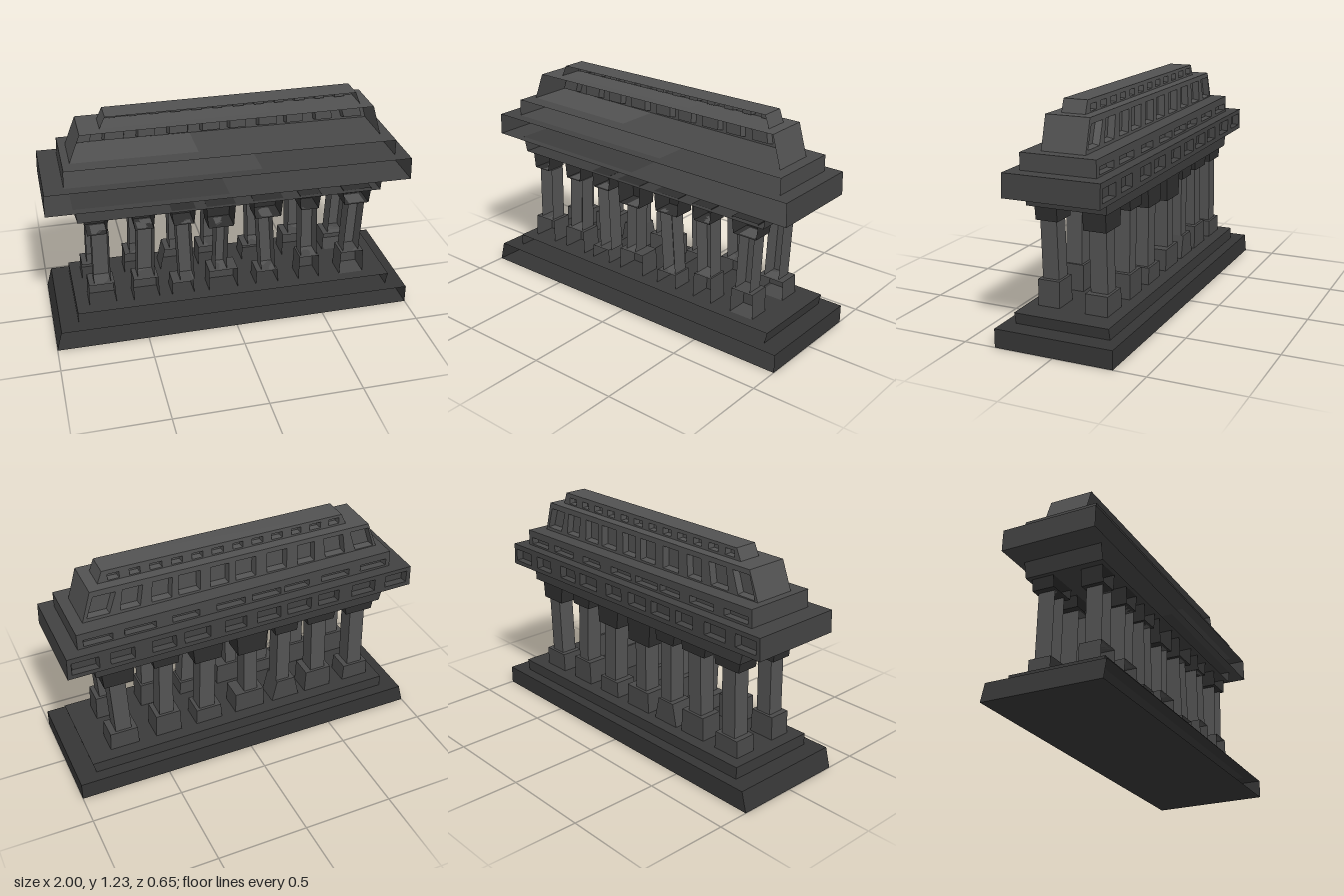
import * as THREE from 'three';
import { mergeGeometries } from 'three/addons/utils/BufferGeometryUtils.js';

const RECESS = 0.035;

// Dark stone shades by part
const SHADES = {
  base: 0x353535, step: 0x3a3a3a, pedestal: 0x494949, shaft: 0x535353, capital: 0x2e2e2e,
  architrave: 0x3c3c3c, cornice: 0x424242, attic: 0x494949, roof: 0x515151, ridge: 0x525252
};
const materials = Object.fromEntries(Object.entries(SHADES).map(([name, color]) =>
  [name, new THREE.MeshStandardMaterial({ color, flatShading: true, side: THREE.DoubleSide })]));

// Four-cornered surface from corners in counter-clockwise order
function quad(a, b, c, d) {
  const g = new THREE.BufferGeometry();
  g.setAttribute('position', new THREE.Float32BufferAttribute([a, b, c, a, c, d].flat(), 3));
  g.computeVertexNormals();
  return g;
}

// Flat wall facing -z, with window holes
function backWall(outline, holes, z) {
  const toPath = (p, P) => new P(p.map(([x, y]) => new THREE.Vector2(x, y)));
  const shape = toPath(outline, THREE.Shape);
  shape.holes = holes.map((h) => toPath(h, THREE.Path));
  const g = new THREE.ShapeGeometry(shape).toNonIndexed();
  const p = g.attributes.position;
  for (let i = 0; i < p.count; i += 3) {
    const [x1, y1, x2, y2] = [p.getX(i + 1), p.getY(i + 1), p.getX(i + 2), p.getY(i + 2)];
    p.setXY(i + 1, x2, y2);
    p.setXY(i + 2, x1, y1);
  }
  g.translate(0, 0, z);
  g.deleteAttribute('uv');
  g.computeVertexNormals();
  return g;
}

// Hollow block: outline run along z, closed at the back and open at the front
function block(name, outline, zBack, zFront, windows = []) {
  const parts = [backWall(outline, windows, zBack)];
  outline.forEach((a, i) => {
    const b = outline[(i + 1) % outline.length];
    parts.push(quad([...a, zFront], [...a, zBack], [...b, zBack], [...b, zFront]));
  });
  // Tapered recess behind each window
  for (const w of windows) {
    const cx = w.reduce((s, p) => s + p[0], 0) / 4;
    const cy = w.reduce((s, p) => s + p[1], 0) / 4;
    const inner = w.map(([x, y]) => [cx + (x - cx) * 0.86, cy + (y - cy) * 0.86]);
    const z = zBack + RECESS;
    parts.push(backWall(inner, [], z));
    w.forEach((a, i) => {
      const j = (i + 1) % 4;
      parts.push(quad([...a, zBack], [...inner[i], z], [...inner[j], z], [...w[j], zBack]));
    });
  }
  const mesh = new THREE.Mesh(mergeGeometries(parts), materials[name]);
  mesh.name = name;
  return mesh;
}

// Row of windows at the given centres, dropping to the right; end windows lean inwards
function windowRow(centres, width, y0, y1, drop, lean = 0) {
  return centres.map((x, i) => {
    const t = i / (centres.length - 1);
    const h = (width / 2) * (1 + 0.08 * Math.sin(i * 2.3));
    const s = lean * (1 - 2 * t) ** 3;
    const d = drop * t;
    return [[x - h - s, y0 - d], [x + h - s, y0 - d], [x + h + s, y1 - d], [x - h + s, y1 - d]];
  });
}

// Outline from left/right ends at the bottom and top
const ends = (l0, yl0, r0, yr0, r1, yr1, l1, yl1) => [[l0, yl0], [r0, yr0], [r1, yr1], [l1, yl1]];

function column(spec, zBack, zFront) {
  const [capL, capR, capY, pedL, pedR, pedY, topX, footX, half, pinch] = spec;
  const g = new THREE.Group();
  g.name = 'column';
  g.add(
    block('pedestal', ends(pedL, 0.165, pedR, 0.165, pedR - pinch, pedY, pedL + pinch, pedY), zBack, zFront),
    block('shaft', ends(footX - half, pedY, footX + half, pedY, topX + half, capY, topX - half, capY), zBack + 0.015, zFront - 0.015),
    block('capital', ends(capL + 0.01, capY, capR - 0.01, capY, capR, 0.712, capL, 0.712), zBack, zFront)
  );
  return g;
}

export function createModel() {
  const model = new THREE.Group();
  model.name = 'colonnade';

  // Stepped base
  model.add(
    block('base', ends(-1, 0, 1, 0, 1, 0.1, -0.97, 0.11), -0.325, 0.325),
    block('step', ends(-0.87, 0.108, 0.895, 0.1, 0.91, 0.163, -0.87, 0.176), -0.262, 0.262)
  );

  // Columns: capital left, right, bottom; pedestal left, right, top;
  // shaft top, foot, half width; pedestal taper
  const backRow = [
    [-0.81, -0.63, 0.65, -0.81, -0.65, 0.27, -0.72, -0.73, 0.045, 0.005],
    [-0.57, -0.39, 0.65, -0.565, -0.4, 0.305, -0.475, -0.485, 0.045, 0.005],
    [-0.34, -0.19, 0.64, -0.36, -0.19, 0.3, -0.26, -0.26, 0.04, 0.03],
    [-0.15, 0.035, 0.57, -0.135, 0.04, 0.29, -0.055, -0.06, 0.04, 0.002],
    [0.115, 0.29, 0.595, 0.125, 0.28, 0.26, 0.2, 0.21, 0.045, 0.005],
    [0.365, 0.52, 0.64, 0.37, 0.52, 0.3, 0.44, 0.45, 0.04, 0.005],
    [0.62, 0.8, 0.6, 0.62, 0.785, 0.27, 0.715, 0.7, 0.045, 0.005]
  ];
  const frontRow = [
    [-0.795, -0.67, 0.62, -0.8, -0.65, 0.305, -0.715, -0.72, 0.045, 0.005],
    [-0.54, -0.42, 0.62, -0.555, -0.41, 0.305, -0.47, -0.48, 0.045, 0.005],
    [-0.33, -0.2, 0.62, -0.34, -0.215, 0.25, -0.265, -0.25, 0.04, 0.005],
    [-0.14, 0.02, 0.575, -0.13, 0.035, 0.295, -0.05, -0.06, 0.033, 0.002],
    [0.12, 0.285, 0.6, 0.14, 0.27, 0.25, 0.19, 0.215, 0.04, 0.005],
    [0.38, 0.5, 0.62, 0.39, 0.51, 0.31, 0.44, 0.45, 0.045, 0.005],
    [0.63, 0.79, 0.62, 0.635, 0.775, 0.305, 0.715, 0.7, 0.045, 0.005]
  ];
  for (const spec of backRow) model.add(column(spec, -0.195, -0.07));
  for (const spec of frontRow) model.add(column(spec, 0.078, 0.2));

  // Window centres of each tier
  const corniceX = [-0.9, -0.695, -0.48, -0.303, -0.122, 0.07, 0.286, 0.47, 0.695, 0.892];
  const atticX = [-0.78, -0.545, -0.312, -0.132, 0.072, 0.325, 0.575, 0.8];
  const roofX = [-0.745, -0.575, -0.404, -0.23, -0.05, 0.1, 0.27, 0.42, 0.585, 0.745];
  const ridgeX = Array.from({ length: 12 }, (_, i) => -0.595 + i * 0.1136);

  // Entablature and stepped roof with recessed windows
  model.add(
    block('architrave', ends(-0.83, 0.715, 0.835, 0.705, 0.84, 0.775, -0.85, 0.8), -0.22, 0.22),
    block('cornice', ends(-0.995, 0.8, 0.99, 0.775, 0.985, 0.9, -0.99, 0.92), -0.262, 0.264,
      windowRow(corniceX, 0.135, 0.825, 0.895, 0.025)),
    block('attic', ends(-0.885, 0.92, 0.91, 0.9, 0.91, 0.99, -0.88, 1.015), -0.205, 0.205,
      windowRow(atticX, 0.16, 0.932, 0.97, 0.02)),
    block('roof', ends(-0.84, 1.015, 0.85, 0.99, 0.8, 1.163, -0.78, 1.167), -0.12, 0.12,
      windowRow(roofX, 0.112, 1.02, 1.14, 0.01, 0.02)),
    block('ridge', ends(-0.67, 1.167, 0.74, 1.163, 0.715, 1.23, -0.64, 1.23), -0.065, 0.065,
      windowRow(ridgeX, 0.062, 1.178, 1.213, 0.008))
  );
  return model;
}
